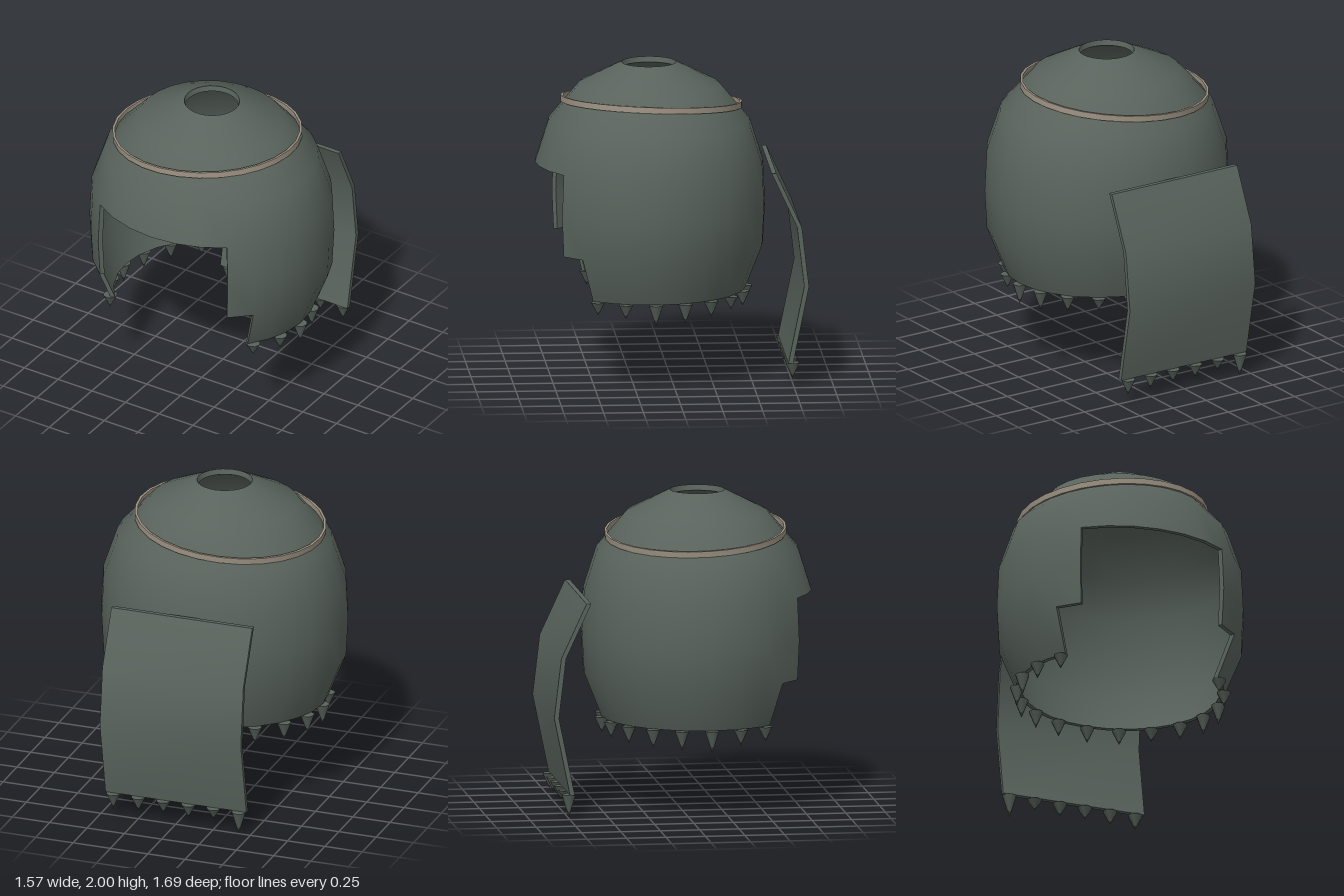
import * as THREE from 'three';
import { toCreasedNormals } from 'three/addons/utils/BufferGeometryUtils.js';

const cloth = new THREE.MeshStandardMaterial({ color: 0x59635c, side: THREE.DoubleSide });
const tan = new THREE.MeshStandardMaterial({ color: 0x9c9182 });
const CENTER_Z = 0.13;
const COLS = 28;

function addMesh(parent, name, geometry, material = cloth) {
  const mesh = new THREE.Mesh(geometry, material);
  mesh.name = name;
  parent.add(mesh);
  return mesh;
}

// Thick dome with an open crown and a stepped face opening
function hoodGeometry() {
  // rows from crown to hem: [half width, half depth, y]
  const outer = [[0.175, 0.172, 2], [0.47, 0.442, 1.862], [0.683, 0.634, 1.632], [0.772, 0.717, 1.37],
    [0.785, 0.73, 1.1], [0.772, 0.717, 0.85], [0.66, 0.607, 0.57]];
  const inner = [[0.165, 0.165, 1.965], [0.455, 0.425, 1.835], [0.656, 0.607, 1.615], [0.742, 0.688, 1.37],
    [0.755, 0.7, 1.1], [0.742, 0.688, 0.85], [0.632, 0.578, 0.57]];
  const rows = outer.length - 1;
  const point = (ring, c) => {
    const t = (c / COLS) * Math.PI * 2;
    const a = t - 0.017 * Math.sin(2 * t);
    return [ring[0] * Math.sin(a), ring[2], CENTER_Z + ring[1] * Math.cos(a)];
  };
  const solid = (r, c) => {
    if (r < 0 || r >= rows) return false;
    const fromFront = Math.min((c + COLS) % COLS, COLS - 1 - ((c + COLS) % COLS));
    return fromFront >= (r < 3 ? 0 : r < 5 ? 3 : 4);
  };
  const pos = [];
  const quad = (a, b, c, d) => pos.push(...a, ...b, ...c, ...a, ...c, ...d);
  for (let r = 0; r < rows; r++) {
    for (let c = 0; c < COLS; c++) {
      if (!solid(r, c)) continue;
      const corners = [[r, c], [r + 1, c], [r + 1, c + 1], [r, c + 1]];
      const o = corners.map(([i, j]) => point(outer[i], j));
      const n = corners.map(([i, j]) => point(inner[i], j));
      quad(...o);
      quad(n[3], n[2], n[1], n[0]);
      // close the thickness along every open edge
      [[r, c - 1], [r + 1, c], [r, c + 1], [r - 1, c]].forEach(([i, j], k) => {
        const m = (k + 1) % 4;
        if (!solid(i, j)) quad(o[m], o[k], n[k], n[m]);
      });
    }
  }
  const geo = new THREE.BufferGeometry();
  geo.setAttribute('position', new THREE.Float32BufferAttribute(pos, 3));
  return toCreasedNormals(geo, 0.75);
}

// Bent neck guard, a side profile extruded across the width
function neckFlapGeometry() {
  const path = [[-0.625, 1.365], [-0.785, 1.02], [-0.83, 0.64], [-0.73, 0.15]];
  const t = 0.015;
  const shape = new THREE.Shape([
    ...path.map(([z, y]) => new THREE.Vector2(z - t, y)),
    ...path.map(([z, y]) => new THREE.Vector2(z + t, y)).reverse(),
  ]);
  const geo = new THREE.ExtrudeGeometry(shape, { depth: 0.944, bevelEnabled: false });
  geo.rotateY(-Math.PI / 2).translate(0.472, 0, 0);
  return toCreasedNormals(geo, 0.75);
}

// Point-down cone hanging from the given height
function addTassel(parent, name, x, top, z, length) {
  const geo = new THREE.ConeGeometry(0.046, length, 8);
  geo.rotateX(Math.PI);
  addMesh(parent, name, geo).position.set(x, top - length / 2, z);
}

export function createModel() {
  const model = new THREE.Group();
  model.name = 'hood';
  addMesh(model, 'hoodShell', hoodGeometry());
  addMesh(model, 'neckFlap', neckFlapGeometry());

  // Tilted flat band round the crown
  const w = 0.008, h = 0.019;
  const section = [[-w, -h], [w, -h], [w, h], [-w, h], [-w, -h]];
  const band = new THREE.LatheGeometry(section.map(([x, y]) => new THREE.Vector2(0.6 + x, y)), 28);
  band.scale(1, 1, 0.94);
  const headband = addMesh(model, 'headband', toCreasedNormals(band, 0.75), tan);
  headband.position.set(-0.045, 1.742, 0.112);
  headband.rotation.set(-0.04, 0, 0.083);

  // Tassels round the hem, leaving the face open
  const hem = new THREE.Group();
  hem.name = 'hemTassels';
  const hemLengths = [0.08, 0.09, 0.135, 0.125, 0.1, 0.08, 0.095, 0.1, 0.1, 0.11, 0.12, 0.125, 0.14, 0.1, 0.09];
  hemLengths.forEach((length, i) => {
    const a = THREE.MathUtils.degToRad(54 + 18 * i);
    addTassel(hem, 'hemTassel', 0.655 * Math.sin(a), 0.567, CENTER_Z + 0.605 * Math.cos(a), length);
  });
  model.add(hem);

  // Tassels under the neck flap
  const flap = new THREE.Group();
  flap.name = 'flapTassels';
  [0.148, 0.07, 0.085, 0.08, 0.09, 0.1].forEach((length, i) => {
    addTassel(flap, 'flapTassel', -0.42 + 0.168 * i, 0.148, -0.745, length);
  });
  model.add(flap);
  return model;
}
